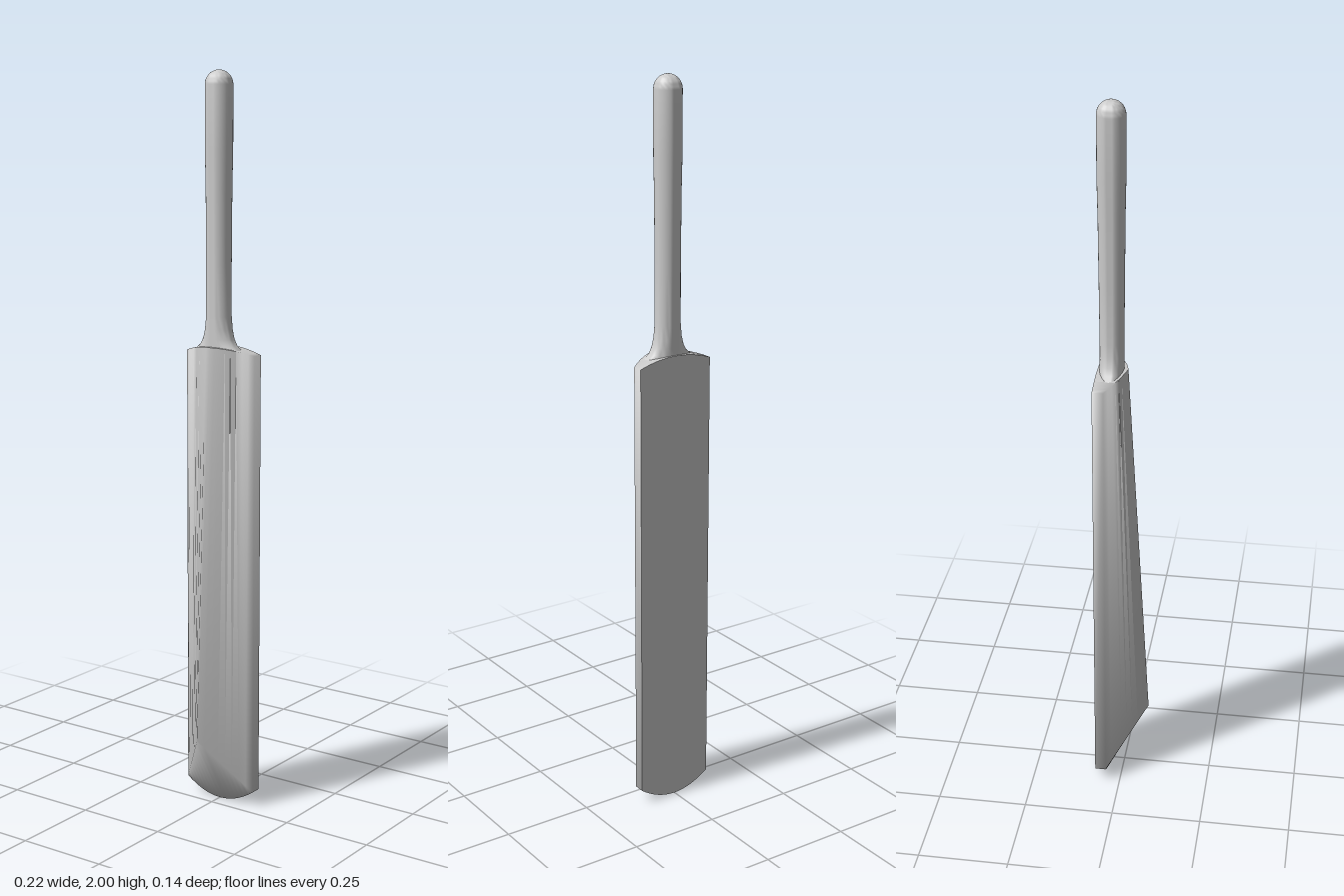
import * as THREE from 'three';
import { toCreasedNormals } from 'three/addons/utils/BufferGeometryUtils.js';

const material = new THREE.MeshStandardMaterial({ color: 0xcccccc });
const lerp = THREE.MathUtils.lerp;
const HALF_WIDTH = 0.11, BACK = -0.07, EDGE = -0.04;

// Side-on outline of the blade at a given x: five points running round y and z
function bladeSection(x) {
  const t = Math.abs(x) / HALF_WIDTH;
  const top = 1.28 - 0.02 * t * t;
  const toe = 0.04 * t * t;
  return [
    [x, toe, BACK],
    [x, top, BACK],
    [x, top, lerp(0.01, EDGE, t) + 0.03 * t * (1 - t)],
    [x, lerp(0.2, 0.04, t), lerp(0.07, EDGE, t)],
    [x, toe, EDGE],
  ];
}

// Blade: sections lofted from one edge to the other, closed with end caps
function bladeGeometry() {
  const columns = 16, n = 5, positions = [], index = [];
  for (let i = 0; i <= columns; i++) {
    const x = lerp(-HALF_WIDTH, HALF_WIDTH, i / columns);
    bladeSection(x).forEach((p) => positions.push(...p));
  }
  for (let i = 0; i < columns; i++) {
    for (let j = 0; j < n; j++) {
      const a = i * n + j, b = i * n + (j + 1) % n;
      index.push(a, b, b + n, a, b + n, a + n);
    }
  }
  const last = columns * n;
  index.push(0, 2, 1, 0, 4, 2);
  index.push(last, last + 1, last + 2, last, last + 2, last + 4);
  const geometry = new THREE.BufferGeometry();
  geometry.setAttribute('position', new THREE.Float32BufferAttribute(positions, 3));
  geometry.setIndex(index);
  return toCreasedNormals(geometry, 1.45);
}

// Handle: turned profile with a domed top; the flared neck is flattened in depth
function handleGeometry() {
  const profile = [
    [0.085, 1.255], [0.07, 1.272], [0.056, 1.283], [0.046, 1.3],
    [0.039, 1.325], [0.035, 1.36], [0.034, 1.5], [0.035, 1.7], [0.037, 1.8],
  ];
  for (let i = 0; i <= 8; i++) {
    const a = (i / 8) * Math.PI / 2;
    profile.push([i === 8 ? 0 : 0.037 * Math.cos(a), 1.963 + 0.037 * Math.sin(a)]);
  }
  const geometry = new THREE.LatheGeometry(profile.map((p) => new THREE.Vector2(...p)), 32);
  const pos = geometry.attributes.position;
  for (let i = 0; i < pos.count; i++) {
    const r = Math.hypot(pos.getX(i), pos.getZ(i));
    const depth = lerp(0.032, 0.037, THREE.MathUtils.smoothstep(pos.getY(i), 1.35, 1.8));
    if (r > depth) pos.setZ(i, pos.getZ(i) * depth / r);
  }
  return toCreasedNormals(geometry, 1);
}

export function createModel() {
  const group = new THREE.Group();
  group.name = 'bat';

  const blade = new THREE.Mesh(bladeGeometry(), material);
  blade.name = 'blade';

  const handle = new THREE.Mesh(handleGeometry(), material);
  handle.name = 'handle';
  handle.position.z = -0.033;

  group.add(blade, handle);
  return group;
}
